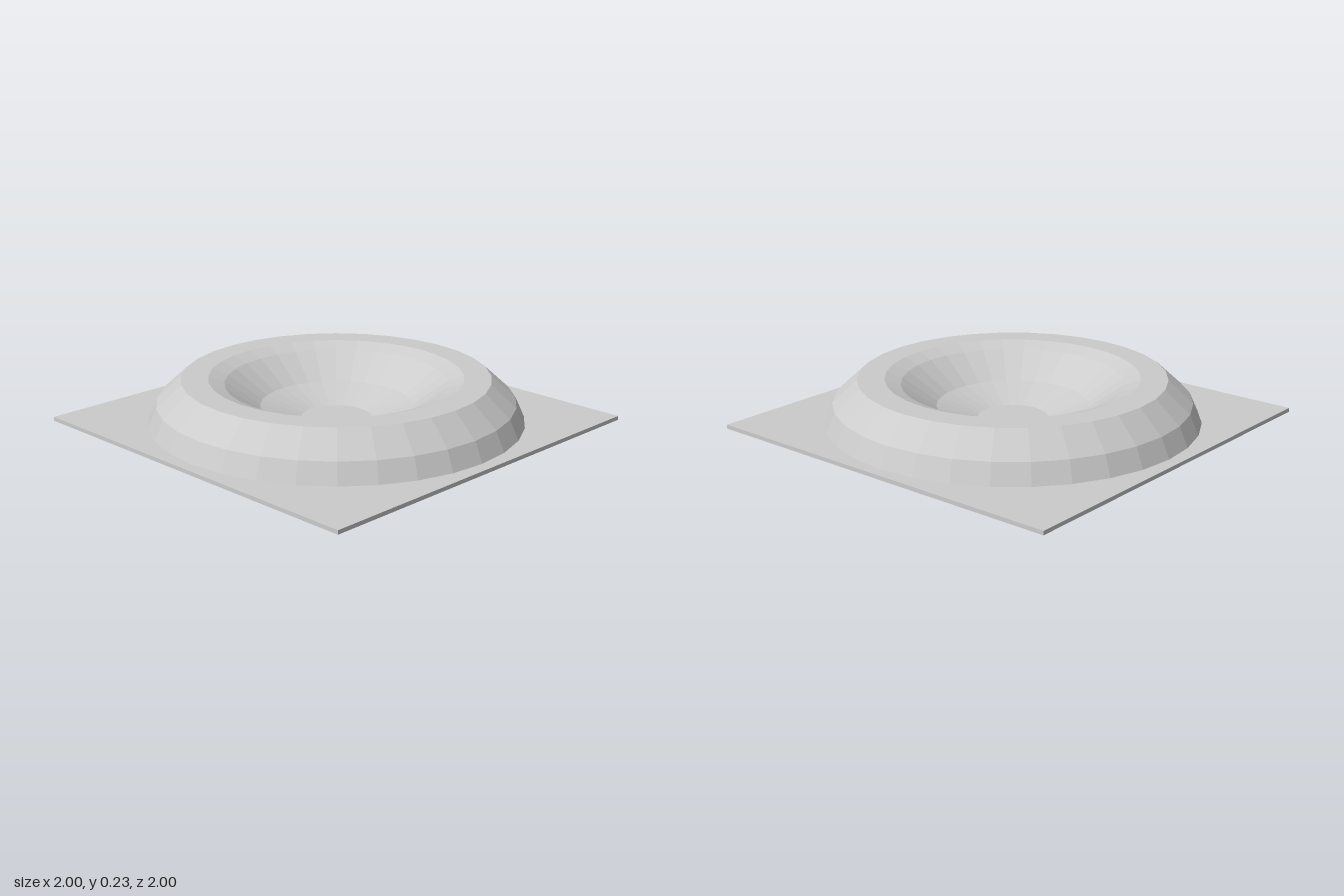
import * as THREE from 'three';

export function createModel() {
  const group = new THREE.Group();
  const material = new THREE.MeshStandardMaterial({ color: 0xcccccc, flatShading: true });

  // thin square slab; its top also serves as the floor of the bowl
  const thickness = 0.02;
  const plate = new THREE.Mesh(new THREE.BoxGeometry(2, thickness, 2), material);
  plate.name = 'basePlate';
  plate.position.y = thickness / 2;
  group.add(plate);

  // faceted ring: outer slope, flat rim, then bowl down to the slab
  const profile = [
    [0.94, thickness], [0.895, 0.12], [0.77, 0.235],
    [0.635, 0.235], [0.555, 0.205], [0.38, 0.085], [0.175, thickness],
  ].map(([r, y]) => new THREE.Vector2(r, y));
  const crater = new THREE.Mesh(new THREE.LatheGeometry(profile, 32), material);
  crater.name = 'craterRing';
  group.add(crater);

  return group;
}
